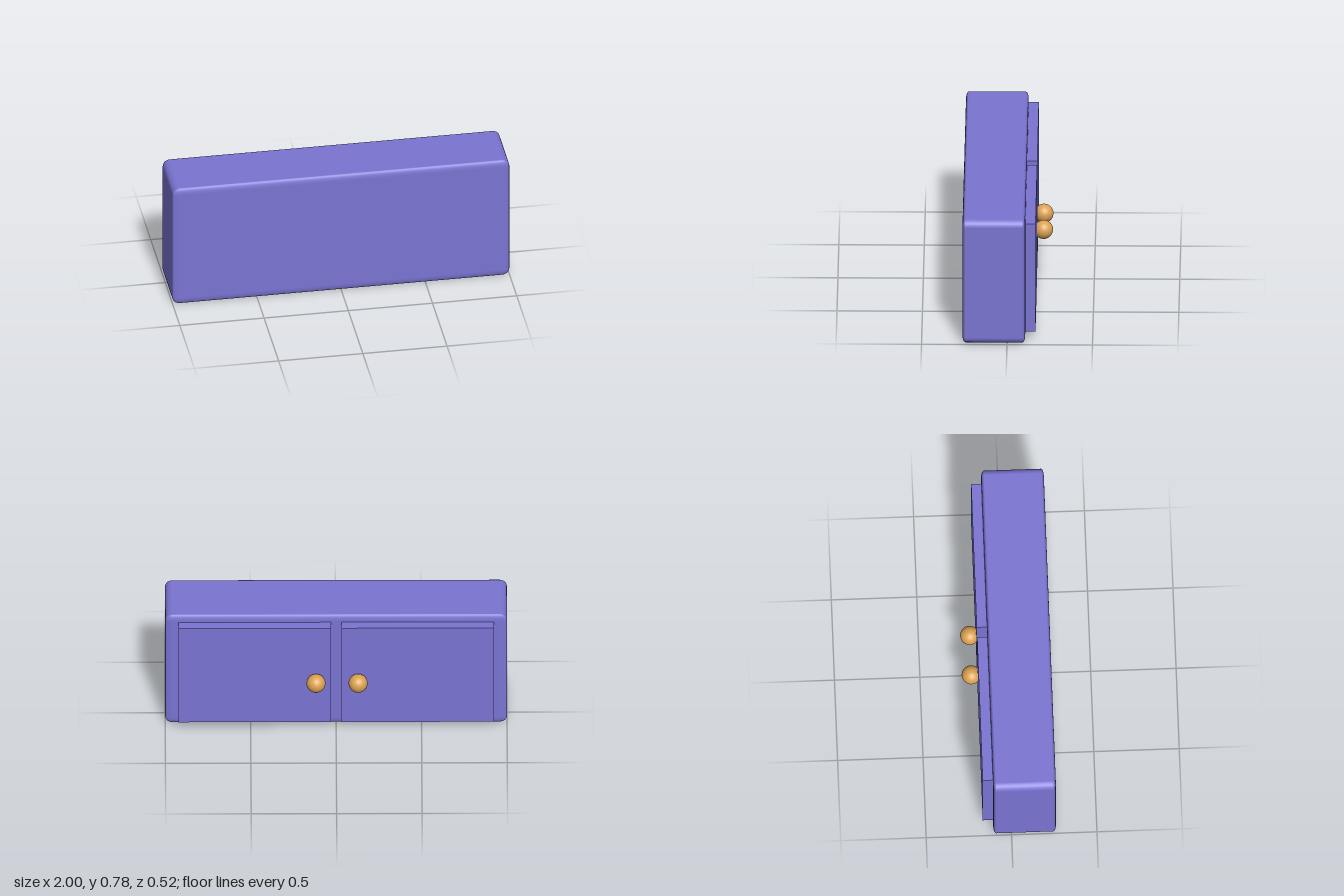
import * as THREE from 'three';
import { RoundedBoxGeometry } from 'three/addons/geometries/RoundedBoxGeometry.js';

export function createModel() {
  const model = new THREE.Group();
  model.name = 'cabinet';
  const paint = new THREE.MeshStandardMaterial({ color: 0x7a74d2 });
  const brass = new THREE.MeshStandardMaterial({ color: 0xdba253 });

  function add(name, geometry, material, x, y, z) {
    const mesh = new THREE.Mesh(geometry, material);
    mesh.name = name;
    mesh.position.set(x, y, z);
    model.add(mesh);
  }

  // Body: rounded box flattened in depth, so its edges round less along z
  const flatten = 0.4;
  const body = new RoundedBoxGeometry(2, 0.78, 0.367 / flatten, 3, 0.042);
  body.scale(1, 1, flatten);
  add('body', body, paint, 0, 0.39, 0.0775);

  // Pair of doors on the -z face, each with a round knob near the middle
  const door = new THREE.BoxGeometry(0.892, 0.68, 0.062);
  const knob = new THREE.SphereGeometry(0.0555, 32, 20);
  for (const [side, s, knobX] of [['left', 1, 0.118], ['right', -1, -0.128]]) {
    add(side + 'Door', door, paint, s * 0.477, 0.393, -0.135);
    add(side + 'Knob', knob, brass, knobX, 0.362, -0.2045);
  }
  return model;
}
